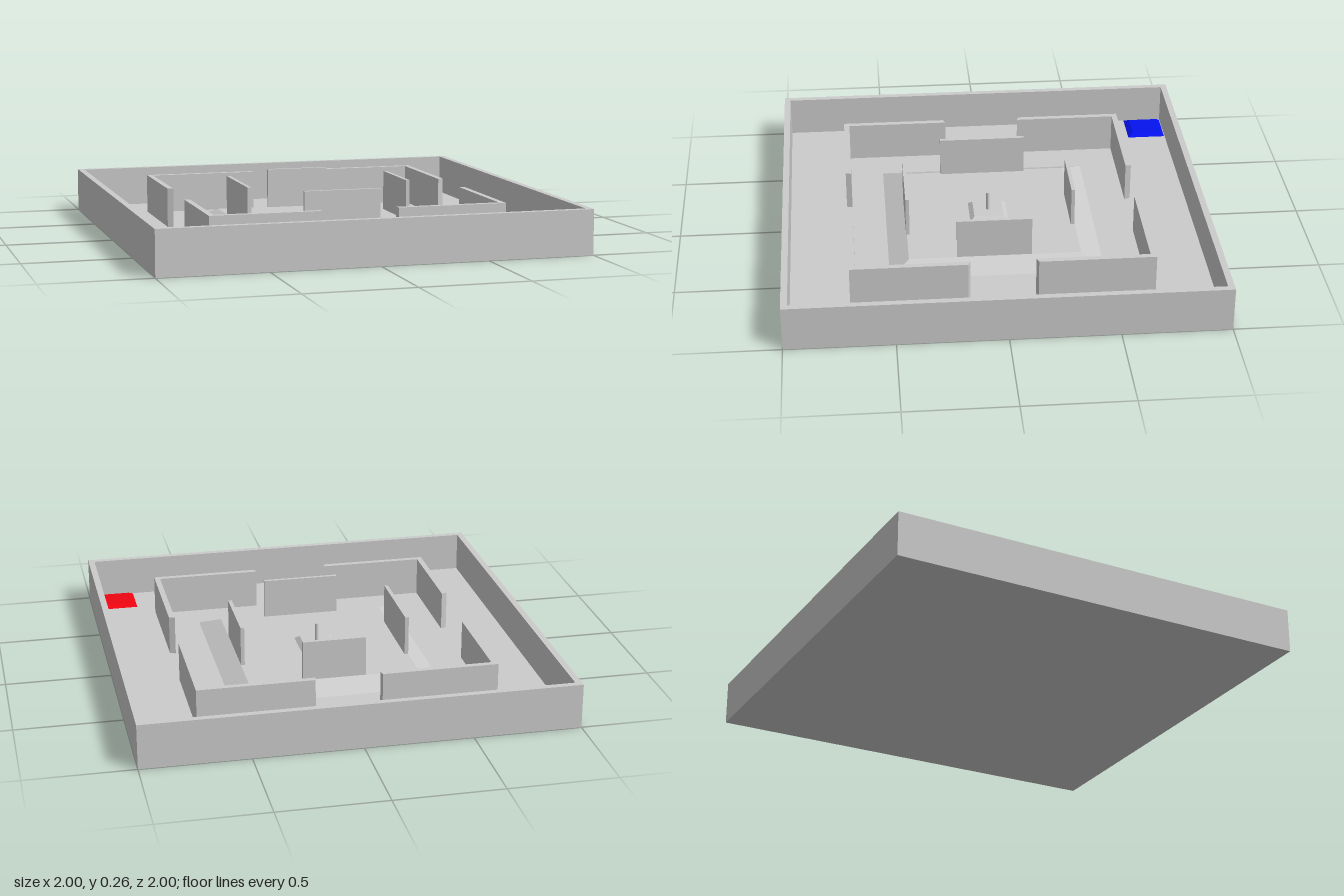
import * as THREE from 'three';

const FLOOR = 0.02, RIM = 0.21, HILL = 0.067;

const paint = (color = 0xcccccc) => new THREE.MeshStandardMaterial({ color, flatShading: true });

export function createModel() {
  const model = new THREE.Group();
  model.name = 'arena';
  const grey = paint();

  const add = (name, geometry, x, y, z, material = grey) => {
    const mesh = new THREE.Mesh(geometry, material);
    mesh.name = name;
    mesh.position.set(x, y, z);
    model.add(mesh);
  };

  // Outline of [x, z] corners, extruded upwards; a hole runs the opposite way round
  const outline = (points) => points.map(([x, z]) => new THREE.Vector2(x, -z));
  const raise = (points, height, hole) => {
    const shape = new THREE.Shape(outline(points));
    if (hole) shape.holes.push(new THREE.Path(outline(hole).reverse()));
    return new THREE.ExtrudeGeometry(shape, { depth: height, bevelEnabled: false }).rotateX(-Math.PI / 2);
  };
  const square = (h) => [[-h, -h], [h, -h], [h, h], [-h, h]];

  // Square block with sloping sides, standing on y = 0; lean shifts its top in z
  const frustum = (base, top, height, lean = 0) =>
    new THREE.CylinderGeometry(top * Math.SQRT1_2, base * Math.SQRT1_2, height, 4)
      .rotateY(Math.PI / 4).translate(0, height / 2, 0)
      .applyMatrix4(new THREE.Matrix4().makeShear(0, 0, 0, lean / height, 0, 0));

  // Tray: floor and outer wall
  add('floor', new THREE.BoxGeometry(1.94, FLOOR, 1.94), 0, FLOOR / 2, 0);
  add('outerWall', raise(square(1), RIM, square(0.97)), 0, 0, 0);

  // Four L-shaped ring walls; gaps differ per side, ends are cut at a slant
  const out = 0.697, inn = 0.67, slant = 0.01;
  const gap = { north: 0.15, south: 0.177, west: 0.183, east: 0.15 };
  for (const sx of [-1, 1]) {
    for (const sz of [-1, 1]) {
      const gx = sz < 0 ? gap.north : gap.south;
      const gz = sx < 0 ? gap.west : gap.east;
      const corners = [
        [gx + slant / 2, out], [out, out], [out, gz + slant],
        [inn, gz], [inn, inn], [gx, inn],
      ].map(([x, z]) => [x * sx, z * sz]);
      add('ringWall', raise(corners, 0.187), 0, FLOOR, 0);
    }
  }

  // Central plateau with sloping sides
  add('plateau', frustum(1, 0.806, HILL - FLOOR, 0.005), 0, FLOOR, 0.01);

  // Straight walls along the plateau edges: [x, z, width, depth]
  const wallHeight = 0.19;
  for (const [x, z, w, d] of [
    [0, -0.377, 0.3, 0.017], [0, 0.413, 0.367, 0.017],
    [-0.395, 0.017, 0.018, 0.418], [0.393, 0.018, 0.018, 0.35],
  ]) {
    add('plateauWall', new THREE.BoxGeometry(w, wallHeight, d), x, HILL + wallHeight / 2, z);
  }

  // Pedestal and post in the middle
  add('pedestal', frustum(0.182, 0.14, 0.018), 0, HILL, 0.018);
  add('post', new THREE.CylinderGeometry(0.009, 0.009, 0.108, 16), 0, HILL + 0.054, 0.018);

  // Coloured pads in opposite corners
  add('bluePad', frustum(0.188, 0.138, 0.016), -0.873, FLOOR, -0.873, paint(0x0512ee));
  add('redPad', frustum(0.188, 0.138, 0.016), 0.873, FLOOR, 0.873, paint(0xee0510));

  return model;
}
